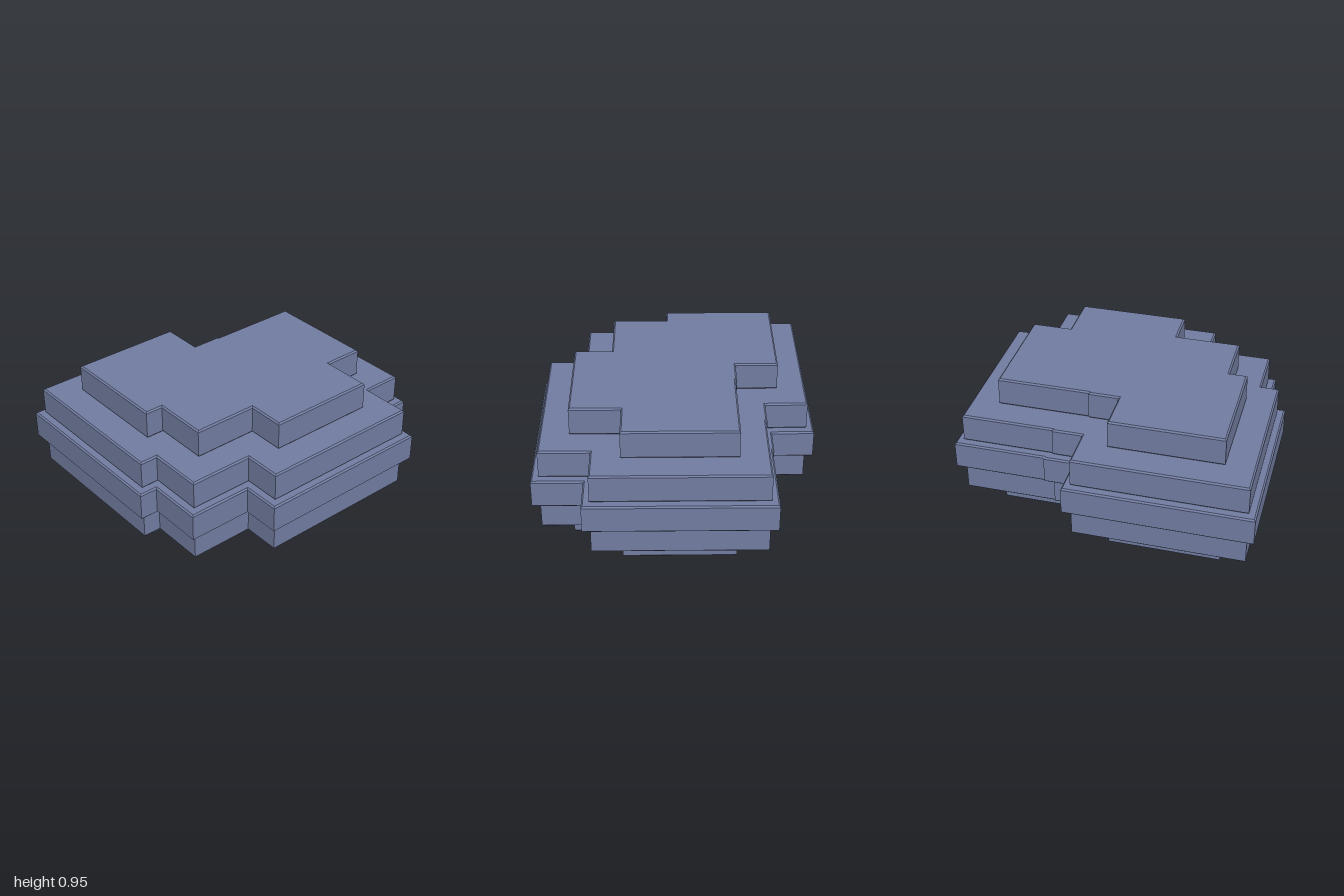
import * as THREE from 'three';

// Plan outline of the widest layer, as [x, z] corners
const OUTLINE = [
  [-0.617, -1], [0.578, -1], [0.578, -0.738], [0.902, -0.738],
  [0.902, 0.457], [0.655, 0.457], [0.655, 0.882], [0.293, 0.882],
  [0.293, 1], [-0.902, 1], [-0.902, -0.203], [-0.626, -0.203],
  [-0.626, -0.4], [-0.617, -0.4],
];
const LAYER_HEIGHT = 0.19;
const CHAMFER = 0.01;

// One chamfered slab whose outline is drawn in by the given inset
function slab(inset) {
  const shape = new THREE.Shape(OUTLINE.map(([x, z]) => new THREE.Vector2(x, -z)));
  const geometry = new THREE.ExtrudeGeometry(shape, {
    depth: LAYER_HEIGHT - 2 * CHAMFER,
    bevelEnabled: true,
    bevelSegments: 1,
    bevelSize: CHAMFER,
    bevelThickness: CHAMFER,
    bevelOffset: -inset - CHAMFER,
  });
  return geometry.rotateX(-Math.PI / 2).translate(0, CHAMFER, 0);
}

export function createModel() {
  const group = new THREE.Group();
  group.name = 'steppedBoulder';
  const stone = new THREE.MeshStandardMaterial({ color: 0x717ca0 });
  stone.name = 'slate blue';

  // Layers from bottom to top, widest in the middle
  const layers = [
    ['bottomLayer', 0.235], ['lowerLayer', 0.048], ['middleLayer', 0],
    ['upperLayer', 0.048], ['topLayer', 0.235],
  ];
  layers.forEach(([name, inset], i) => {
    const mesh = new THREE.Mesh(slab(inset), stone);
    mesh.name = name;
    mesh.position.y = i * LAYER_HEIGHT;
    group.add(mesh);
  });
  return group;
}
